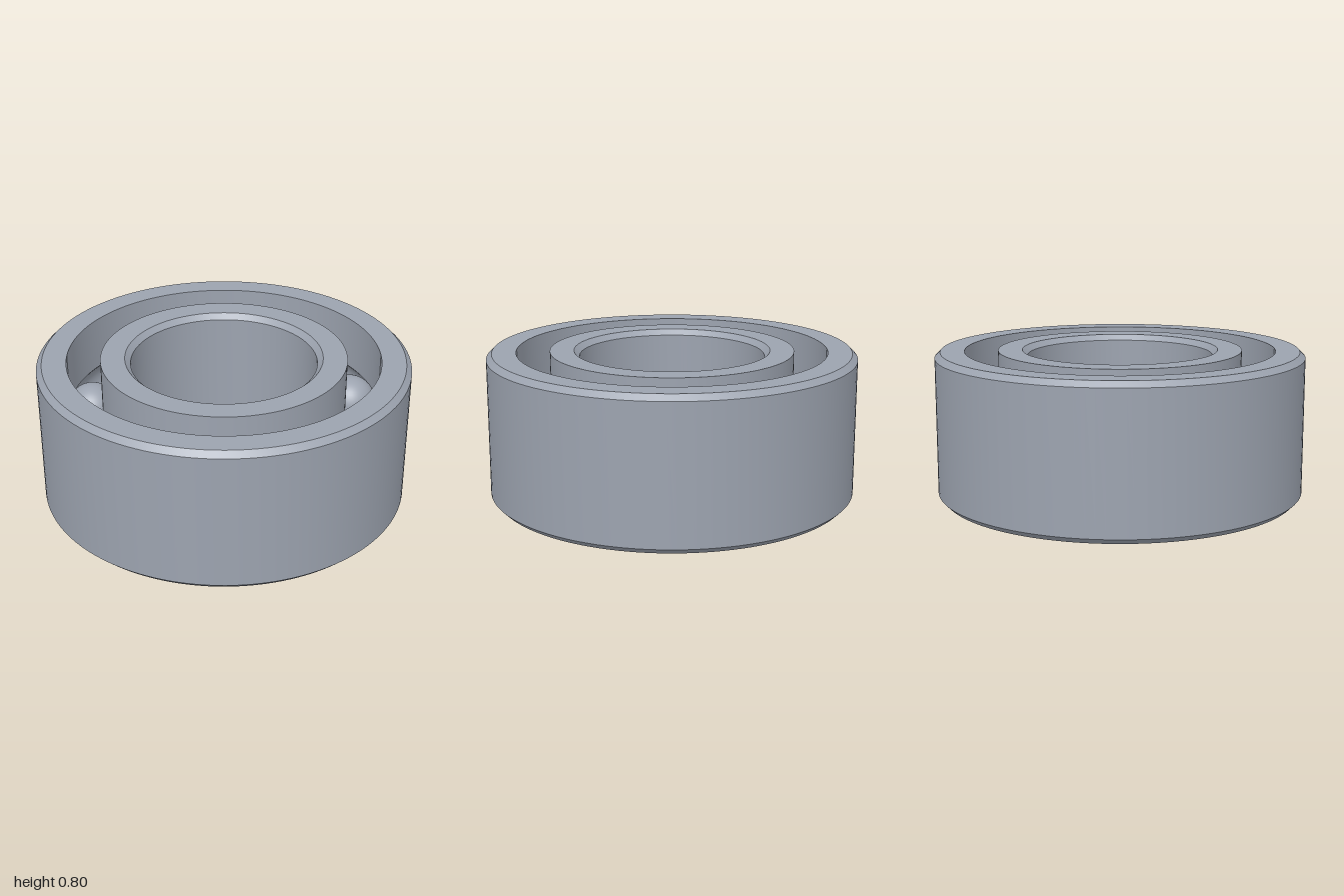
import * as THREE from 'three';
import { toCreasedNormals } from 'three/addons/utils/BufferGeometryUtils.js';

const HEIGHT = 0.8, MID = HEIGHT / 2, CHAMFER = 0.03;
const OUTER = 1, BORE = 0.5;
const PITCH = 0.75;          // radius of the circle through the ball centres
const GAP = 0.09;            // half the gap between the rings
const GROOVE = 0.14, BALL = 0.138;
const BALL_COUNT = 12;

// Arc of the ball groove; side +1 cuts the outer ring, -1 the inner ring.
// Each runs so that the closed profile goes counter-clockwise.
function grooveArc(side) {
  const half = Math.acos(GAP / GROOVE), steps = 14, points = [];
  for (let i = 0; i <= steps; i++) {
    const a = side * half * (1 - (2 * i) / steps);
    points.push([PITCH + side * GROOVE * Math.cos(a), MID + GROOVE * Math.sin(a)]);
  }
  return points;
}

function ring(name, profile, material) {
  const points = [...profile, profile[0]].map(([x, y]) => new THREE.Vector2(x, y));
  const mesh = new THREE.Mesh(toCreasedNormals(new THREE.LatheGeometry(points, 128), 0.5), material);
  mesh.name = name;
  return mesh;
}

export function createModel() {
  const group = new THREE.Group();
  group.name = 'ballBearing';
  const steel = new THREE.MeshStandardMaterial({ color: 0x9ca3af });
  steel.name = 'steel';

  // Outer ring, chamfered on its outside edges
  group.add(ring('outerRing', [
    [PITCH + GAP, 0], [OUTER - CHAMFER, 0], [OUTER, CHAMFER],
    [OUTER, HEIGHT - CHAMFER], [OUTER - CHAMFER, HEIGHT], [PITCH + GAP, HEIGHT],
    ...grooveArc(1),
  ], steel));

  // Inner ring, chamfered around the bore
  group.add(ring('innerRing', [
    [BORE + CHAMFER, 0], [PITCH - GAP, 0],
    ...grooveArc(-1),
    [PITCH - GAP, HEIGHT], [BORE + CHAMFER, HEIGHT],
    [BORE, HEIGHT - CHAMFER], [BORE, CHAMFER],
  ], steel));

  // Balls running in the grooves
  const balls = new THREE.Group();
  balls.name = 'balls';
  const ballGeometry = new THREE.SphereGeometry(BALL, 40, 24);
  for (let i = 0; i < BALL_COUNT; i++) {
    const a = THREE.MathUtils.degToRad(12 + (i * 360) / BALL_COUNT);
    const ball = new THREE.Mesh(ballGeometry, steel);
    ball.name = `ball${i + 1}`;
    ball.position.set(PITCH * Math.cos(a), MID, PITCH * Math.sin(a));
    balls.add(ball);
  }
  group.add(balls);

  return group;
}
